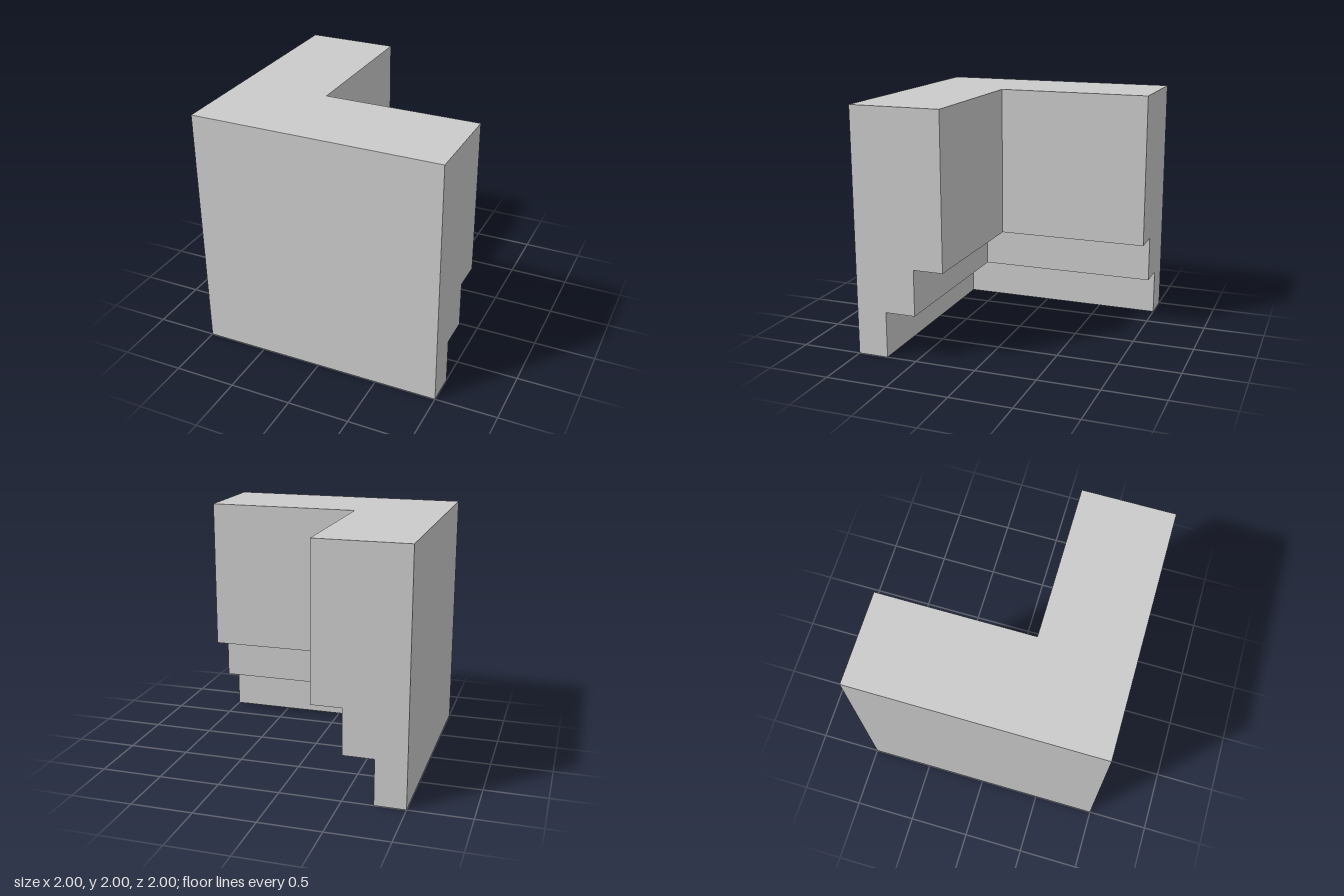
import * as THREE from 'three';

// Wall profile: [depth from the outer face, height], anticlockwise
const PROFILE = [
  [0, 0], [0.25, 0], [0.25, 0.375], [0.5, 0.375],
  [0.5, 0.75], [0.745, 0.75], [0.745, 2], [0, 2],
];

// Sweep the profile along an L: right-hand end, mitred corner, back end
function sweepCorner(profile) {
  const sections = [
    profile.map(([d, y]) => [1, y, 1 - d]),
    profile.map(([d, y]) => [d - 1, y, 1 - d]),
    profile.map(([d, y]) => [d - 1, y, -1]),
  ];
  const positions = [];
  const tri = (...corners) => corners.forEach((p) => positions.push(...p));

  // Long faces between neighbouring sections
  for (let s = 0; s < sections.length - 1; s++) {
    const a = sections[s], b = sections[s + 1];
    for (let i = 0; i < profile.length; i++) {
      const j = (i + 1) % profile.length;
      tri(a[i], b[i], b[j]);
      tri(a[i], b[j], a[j]);
    }
  }

  // Stepped end caps
  const outline = profile.map(([d, y]) => new THREE.Vector2(d, y));
  const [first, , last] = sections;
  for (const [i, j, k] of THREE.ShapeUtils.triangulateShape(outline, [])) {
    tri(first[i], first[j], first[k]);
    tri(last[i], last[k], last[j]);
  }

  const geometry = new THREE.BufferGeometry();
  geometry.setAttribute('position', new THREE.Float32BufferAttribute(positions, 3));
  geometry.computeVertexNormals();
  return geometry;
}

export function createModel() {
  const group = new THREE.Group();
  group.name = 'steppedCornerBlock';
  const material = new THREE.MeshStandardMaterial({ color: 0xcccccc, flatShading: true });
  const wall = new THREE.Mesh(sweepCorner(PROFILE), material);
  wall.name = 'cornerWall';
  group.add(wall);
  return group;
}
